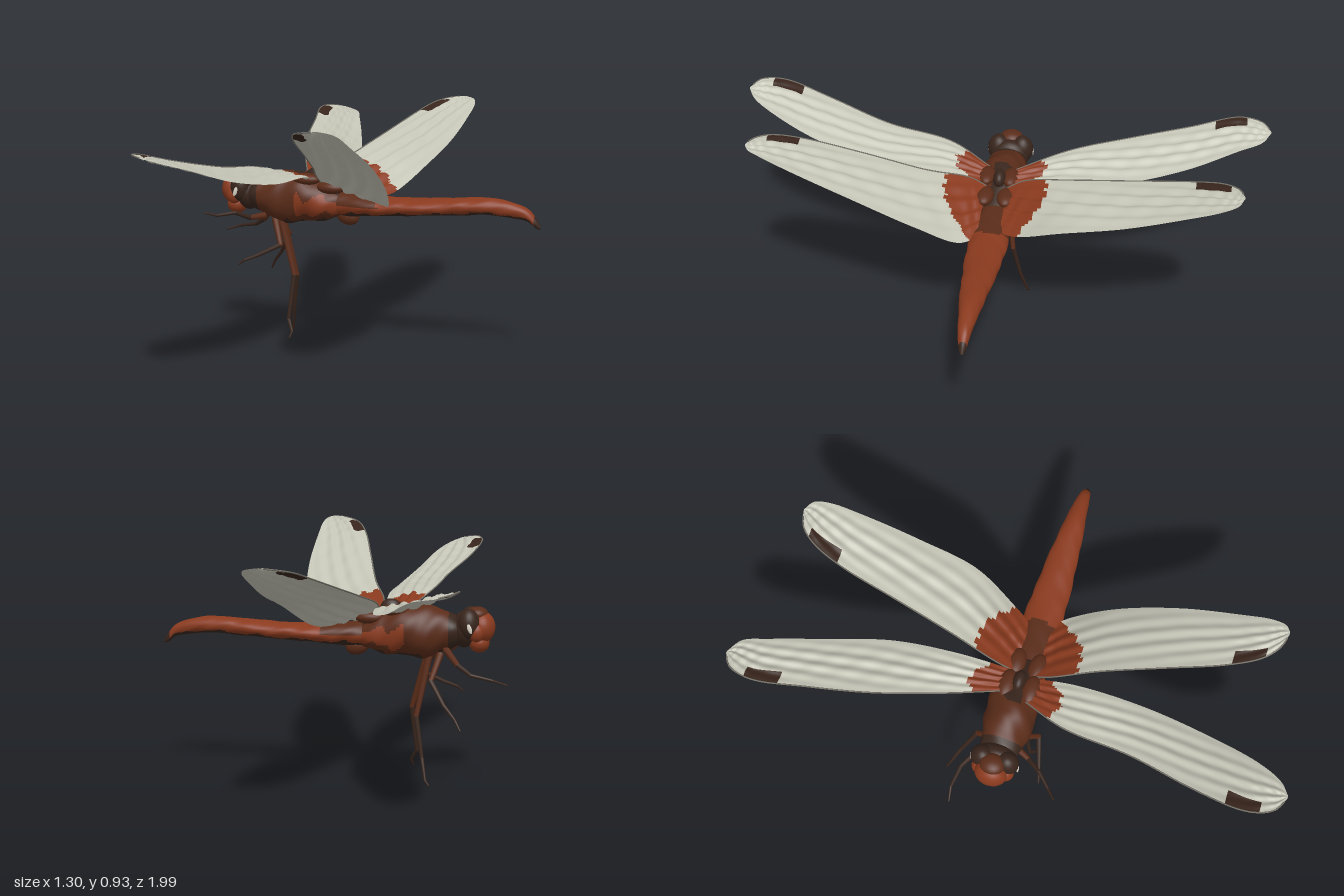
import * as THREE from 'three';

const mat = (name, color) => Object.assign(new THREE.MeshStandardMaterial({ color }), { name });
const V = (x, y, z) => new THREE.Vector3(x, y, z);

// Surface over a u,v grid; pick(u, v) chooses the material index of each cell
function gridMesh(name, nu, nv, point, mats, pick, flip = false) {
  const pos = [], lists = mats.map(() => []);
  for (let i = 0; i <= nu; i++)
    for (let j = 0; j <= nv; j++) pos.push(...point(i / nu, j / nv).toArray());
  for (let i = 0; i < nu; i++)
    for (let j = 0; j < nv; j++) {
      const a = i * (nv + 1) + j, b = a + 1, c = a + nv + 1, d = c + 1;
      lists[pick((i + 0.5) / nu, (j + 0.5) / nv)].push(...(flip ? [a, c, b, b, c, d] : [a, b, c, b, d, c]));
    }
  const geo = new THREE.BufferGeometry();
  geo.setAttribute('position', new THREE.Float32BufferAttribute(pos, 3));
  geo.setIndex(lists.flat());
  let start = 0;
  lists.forEach((l, k) => { if (l.length) geo.addGroup(start, l.length, k); start += l.length; });
  geo.computeVertexNormals();
  const mesh = new THREE.Mesh(geo, mats);
  mesh.name = name;
  return mesh;
}

// Body loft along x; sections are [x, centreY, radiusY, radiusZ]; pick gets x and the angle from the top (0 to 1)
function loft(name, sections, bump, mats, pick) {
  const centre = new THREE.CatmullRomCurve3(sections.map(s => V(s[0], s[1], 0)));
  const radius = new THREE.CatmullRomCurve3(sections.map(s => V(s[2], s[3], 0)));
  return gridMesh(name, 80, 56, (u, v) => {
    const c = centre.getPoint(u), r = radius.getPoint(u), a = Math.PI + v * Math.PI * 2;
    const k = 1 + bump * (Math.sin(c.x * 55 + 2 * a) + Math.sin(c.x * 31 - 3 * a) + Math.sin(5 * a + c.x * 80) * 0.6);
    return V(c.x, c.y + Math.cos(a) * Math.max(r.x, 0.002) * k, -0.005 + Math.sin(a) * Math.max(r.y, 0.002) * k);
  }, mats, (u, v) => pick(centre.getPoint(u).x, Math.abs(v - 0.5) * 2, v));
}

// Wing rows are [z, leadX, leadY, trailX, trailY] from root to tip.
// root: [reach, centreX, narrowing] of the coloured base; stigma: z range of the dark spot
function wing(name, rows, root, stigma, m) {
  const lead = new THREE.CatmullRomCurve3(rows.map(r => V(r[1], r[2], r[0])));
  const trail = new THREE.CatmullRomCurve3(rows.map(r => V(r[3], r[4], r[0])));
  const side = Math.sign(rows[3][0]);
  const surface = (u, v, lift = 0) => {
    const p = lead.getPoint(u).lerp(trail.getPoint(u), v);
    const fade = Math.sin(Math.PI * v) * Math.min(1, (1 - u) * 5);
    p.y += fade * (0.005 * Math.sin(v * 27 - u * 20) + 0.0015 * Math.sin(u * 70 + v * 12) + lift);
    return p;
  };
  const spot = (p, v) => v < 0.25 && Math.abs(p.z) > stigma[0] && Math.abs(p.z) < stigma[1];
  const base = p => Math.abs(p.z) < root[0] - root[2] * (p.x - root[1]) ** 2 + 0.008 * Math.sin(p.x * 130);
  const g = new THREE.Group();
  g.name = name;
  const mats = [m.membrane, m.dark, m.rust];
  g.add(gridMesh('wingTop', 90, 44, (u, v) => surface(u, v, 0.003), mats, (u, v) => {
    const p = surface(u, v);
    return spot(p, v) ? 1 : base(p) ? 2 : 0;
  }, side > 0));
  g.add(gridMesh('wingUnderside', 90, 44, (u, v) => surface(u, v, -0.003), mats,
    (u, v) => spot(surface(u, v), v) ? 1 : 0, side < 0));
  // Stiff leading edge
  const pts = Array.from({ length: 24 }, (_, i) => surface(i / 23 * 0.96, 0));
  const edge = new THREE.Mesh(new THREE.TubeGeometry(new THREE.CatmullRomCurve3(pts), 48, 0.0028, 5), m.vein);
  edge.name = 'leadingEdge';
  g.add(edge);
  return g;
}

// Jointed, tapering leg through the given points
function leg(name, pts, m) {
  const g = new THREE.Group();
  g.name = name;
  const p = pts.map(q => V(...q)), n = p.length - 1;
  const rad = i => 0.0135 - 0.0102 * Math.pow(i / n, 0.7);
  for (let i = 0; i < n; i++) {
    const d = p[i + 1].clone().sub(p[i]);
    const material = i === 0 ? m.brown : m.dark;
    const seg = new THREE.Mesh(new THREE.CylinderGeometry(rad(i + 1), rad(i), d.length(), 8), material);
    seg.position.copy(p[i]).addScaledVector(d, 0.5);
    seg.quaternion.setFromUnitVectors(V(0, 1, 0), d.normalize());
    const joint = new THREE.Mesh(new THREE.SphereGeometry(rad(i + 1), 8, 6), material);
    joint.position.copy(p[i + 1]);
    seg.name = 'legSegment';
    joint.name = 'legJoint';
    g.add(seg, joint);
  }
  return g;
}

function ellipsoid(name, material, [x, y, z], [rx, ry, rz], tilt = 0) {
  const e = new THREE.Mesh(new THREE.SphereGeometry(1, 24, 16), material);
  e.name = name;
  e.position.set(x, y, z);
  e.scale.set(rx, ry, rz);
  e.rotation.z = tilt;
  return e;
}

export function createModel() {
  const m = {
    rust: mat('rustOrange', 0x8a3a1e), brown: mat('thoraxBrown', 0x5a2c19), dark: mat('darkBrown', 0x38251c),
    membrane: mat('wingGrey', 0xc4c4b6), vein: mat('veinGrey', 0x77736a), pale: mat('paleSpot', 0xd8d2c4),
  };
  const model = new THREE.Group();
  model.name = 'dragonfly';

  // Thorax: dark collar, back and belly, rusty flanks towards the rear
  model.add(loft('thorax', [
    [-0.49, 0.565, 0.04, 0.05], [-0.45, 0.565, 0.06, 0.072], [-0.41, 0.565, 0.075, 0.08], [-0.34, 0.56, 0.1, 0.092],
    [-0.26, 0.565, 0.092, 0.092], [-0.18, 0.552, 0.075, 0.082], [-0.12, 0.548, 0.05, 0.062], [-0.08, 0.545, 0.03, 0.04],
  ], 0.022, [m.brown, m.dark, m.rust], (x, t, v) => {
    const wave = 0.06 * Math.sin(x * 47) + 0.04 * Math.sin(x * 90 + v * 30);
    if (x < -0.43 || t > 0.86 + wave || (x > -0.3 && t < 0.16 + wave)) return 1;
    return x > -0.27 && t > 0.42 + wave && t < 0.7 + wave ? 2 : 0;
  }));

  // Abdomen: brown at the front, rusty above, dark beneath and at the tip
  model.add(loft('abdomen', [
    [-0.15, 0.548, 0.045, 0.055], [-0.05, 0.547, 0.044, 0.068], [0.05, 0.547, 0.036, 0.073], [0.2, 0.553, 0.032, 0.066],
    [0.34, 0.563, 0.032, 0.054], [0.46, 0.57, 0.031, 0.041], [0.55, 0.56, 0.028, 0.028], [0.6, 0.545, 0.022, 0.021],
    [0.63, 0.518, 0.018, 0.013], [0.647, 0.502, 0.006, 0.005],
  ], 0.018, [m.rust, m.dark, m.brown], (x, t, v) => {
    const wave = 0.05 * Math.sin(x * 40) + 0.03 * Math.sin(x * 95 + v * 20);
    if (x > 0.625 || t > 0.72 + wave) return 1;
    return x < 0.03 + wave * 0.3 && t < 0.5 ? 2 : 0;
  }));
  model.add(ellipsoid('abdomenLobe', m.brown, [-0.09, 0.502, -0.005], [0.045, 0.034, 0.03], -0.3));

  // Wing hinges on the back
  for (const s of [1, -1]) {
    model.add(ellipsoid('foreHinge', m.brown, [-0.235, 0.64, s * 0.045], [0.055, 0.022, 0.032]));
    model.add(ellipsoid('hindHinge', m.brown, [-0.14, 0.612, s * 0.04], [0.055, 0.024, 0.034]));
  }
  model.add(ellipsoid('backRidge', m.dark, [-0.215, 0.645, -0.005], [0.04, 0.034, 0.024]));

  // Head
  model.add(ellipsoid('skull', m.dark, [-0.485, 0.572, -0.005], [0.045, 0.068, 0.075]));
  model.add(ellipsoid('face', m.rust, [-0.55, 0.58, -0.005], [0.048, 0.058, 0.06]));
  model.add(ellipsoid('jaw', m.rust, [-0.54, 0.522, -0.005], [0.038, 0.036, 0.045]));
  model.add(ellipsoid('brow', m.brown, [-0.532, 0.627, -0.005], [0.04, 0.028, 0.045]));
  for (const s of [1, -1]) {
    model.add(ellipsoid('eye', m.dark, [-0.504, 0.595, s * 0.046 - 0.005], [0.04, 0.056, 0.043]));
    model.add(ellipsoid('eyeSpot', m.pale, [-0.51, 0.583, s * 0.0865 - 0.005], [0.008, 0.02, 0.0045], -0.35));
    model.add(ellipsoid('cheek', m.rust, [-0.532, 0.565, s * 0.05 - 0.005], [0.03, 0.035, 0.028]));
  }

  // Wings
  model.add(wing('leftForewing', [
    [0.04, -0.285, 0.645, -0.19, 0.64], [0.2, -0.355, 0.7, -0.18, 0.672], [0.45, -0.39, 0.735, -0.19, 0.685],
    [0.7, -0.457, 0.79, -0.24, 0.73], [0.88, -0.487, 0.835, -0.3, 0.79], [0.965, -0.46, 0.845, -0.35, 0.82],
    [0.997, -0.405, 0.838, -0.395, 0.837],
  ], [0.165, -0.265, 10], [0.8, 0.92], m));
  model.add(wing('rightForewing', [
    [-0.04, -0.265, 0.645, -0.18, 0.64], [-0.25, -0.36, 0.7, -0.19, 0.67], [-0.48, -0.44, 0.73, -0.215, 0.675],
    [-0.7, -0.497, 0.765, -0.29, 0.705], [-0.88, -0.537, 0.8, -0.365, 0.755], [-0.965, -0.515, 0.797, -0.405, 0.775],
    [-0.997, -0.47, 0.787, -0.46, 0.786],
  ], [0.175, -0.265, 10], [0.785, 0.905], m));
  model.add(wing('leftHindwing', [
    [0.04, -0.18, 0.63, 0.06, 0.56], [0.1, -0.175, 0.665, 0.105, 0.565], [0.25, -0.125, 0.715, 0.15, 0.65],
    [0.47, -0.073, 0.8, 0.175, 0.765], [0.68, -0.022, 0.876, 0.177, 0.86], [0.79, 0.025, 0.912, 0.172, 0.91],
    [0.838, 0.075, 0.925, 0.158, 0.926], [0.855, 0.125, 0.932, 0.135, 0.932],
  ], [0.185, -0.1, 4], [0.7, 0.8], m));
  model.add(wing('rightHindwing', [
    [-0.04, -0.18, 0.63, 0.03, 0.57], [-0.11, -0.178, 0.67, 0.07, 0.59], [-0.28, -0.14, 0.715, 0.14, 0.675],
    [-0.5, -0.095, 0.765, 0.162, 0.735], [-0.72, -0.05, 0.815, 0.166, 0.805], [-0.83, -0.01, 0.845, 0.16, 0.84],
    [-0.885, 0.035, 0.858, 0.14, 0.857], [-0.906, 0.09, 0.865, 0.1, 0.865],
  ], [0.195, -0.11, 3], [0.735, 0.86], m));

  // Legs, each posed differently
  const legs = {
    rightFrontLeg: [[-0.42, 0.5, -0.04], [-0.47, 0.45, -0.1], [-0.52, 0.42, -0.135], [-0.6, 0.405, -0.148], [-0.65, 0.388, -0.14]],
    leftFrontLeg: [[-0.41, 0.49, 0.04], [-0.44, 0.49, 0.1], [-0.48, 0.515, 0.15], [-0.53, 0.51, 0.2], [-0.565, 0.522, 0.23]],
    rightMiddleLeg: [[-0.4, 0.48, -0.03], [-0.375, 0.395, -0.12], [-0.43, 0.31, -0.17], [-0.47, 0.265, -0.195], [-0.49, 0.23, -0.21]],
    leftMiddleLeg: [[-0.37, 0.48, 0.03], [-0.32, 0.395, 0.1], [-0.4, 0.355, 0.125], [-0.45, 0.335, 0.14], [-0.47, 0.318, 0.145]],
    leftHindLeg: [[-0.35, 0.48, 0.02], [-0.29, 0.27, 0.04], [-0.307, 0.1, 0.06], [-0.283, 0.06, 0.085], [-0.29, 0.038, 0.095]],
    rightHindLeg: [[-0.36, 0.48, -0.02], [-0.315, 0.25, -0.045], [-0.34, 0.1, -0.075], [-0.355, 0.02, -0.1], [-0.368, 0.004, -0.107]],
  };
  for (const [name, pts] of Object.entries(legs)) model.add(leg(name, pts, m));
  return model;
}
